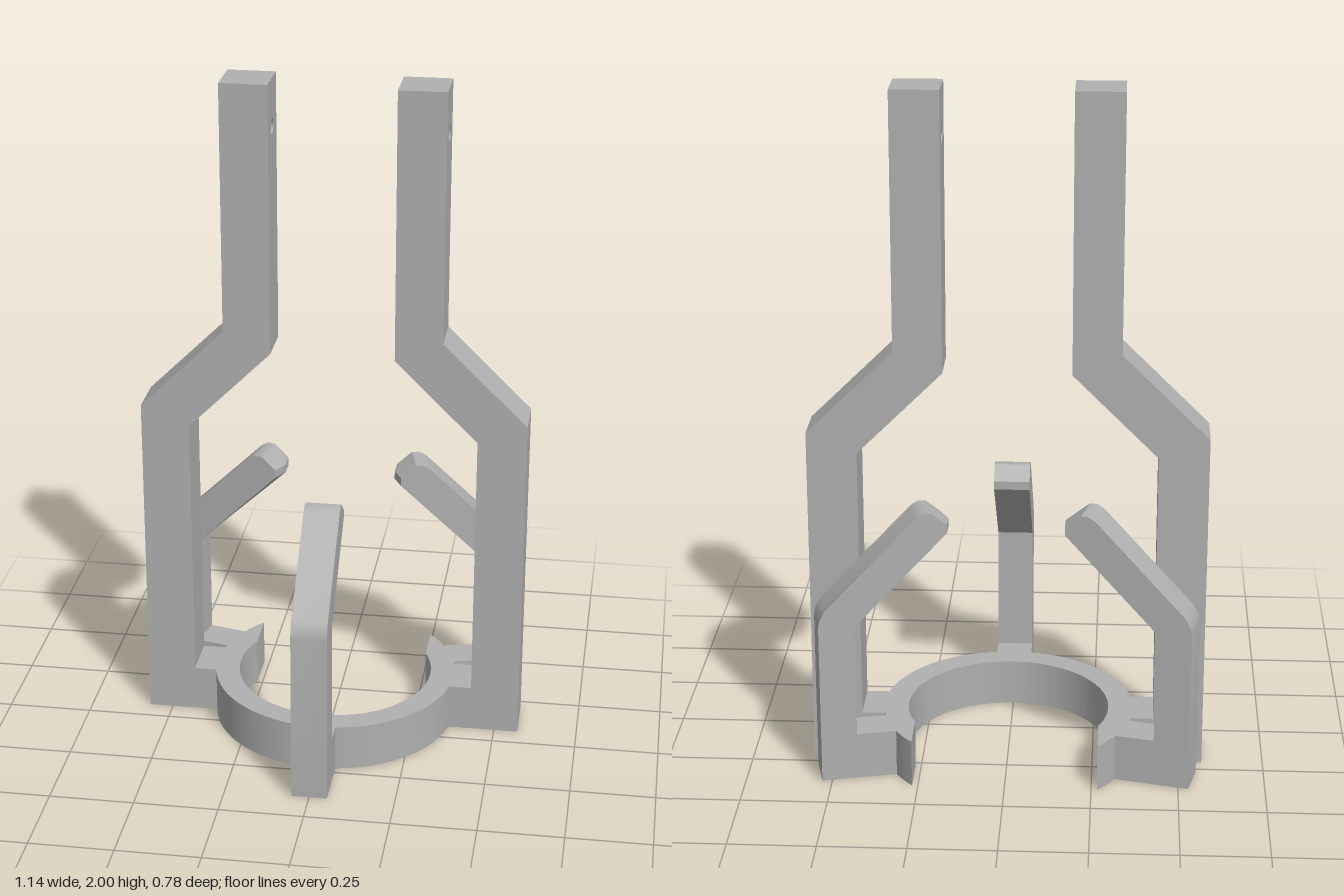
import * as THREE from 'three';
import { toCreasedNormals } from 'three/addons/utils/BufferGeometryUtils.js';

const CZ = -0.137;   // z of the ring centre and the tall arms
const BASE = 0.14;   // height of the ring and feet

const grey = new THREE.MeshStandardMaterial({ color: 0xb0b0b0 });
grey.name = 'grey';

const outline = (pts) => new THREE.Shape(pts.map(([x, y]) => new THREE.Vector2(x, y)));

function extrude(shape, depth, steps = 1) {
  return new THREE.ExtrudeGeometry(shape, { depth, steps, bevelEnabled: false, curveSegments: 48 });
}

function part(name, geometry) {
  const mesh = new THREE.Mesh(toCreasedNormals(geometry, 0.5), grey);
  mesh.name = name;
  return mesh;
}

// Open ring, its ends cut off straight at x = +-0.267
function ring() {
  const R = 0.367, r = 0.295, cut = 0.267;
  const a = Math.acos(cut / R), b = Math.acos(cut / r);
  const s = new THREE.Shape();
  s.absarc(0, -CZ, R, a, -Math.PI - a, true);
  s.absarc(0, -CZ, r, -Math.PI - b, b, false);
  s.closePath();
  return part('baseRing', extrude(s, BASE).rotateX(-Math.PI / 2));
}

// Tall cranked arm: lower part with foot, upper part with a pin hole
function arm(side) {
  const group = new THREE.Group();
  group.name = side > 0 ? 'leftArm' : 'rightArm';
  const w = 0.143, split = 1.4;
  let pts = [[0.31, 0], [0.571, 0], [0.571, 1.012], [0.321, 1.258], [0.321, split],
    [0.182, split], [0.182, 1.197], [0.427, 0.954], [0.427, BASE], [0.31, BASE]];
  pts = pts.map(([x, y]) => [x * side, y]);
  group.add(part('armLower', extrude(outline(pts), w).translate(0, 0, CZ - w / 2)));

  const upper = outline([[-w / 2, split], [w / 2, split], [w / 2, 2], [-w / 2, 2]]);
  const hole = new THREE.Path();
  hole.absarc(0, 1.86, 0.022, 0, Math.PI * 2, true);
  upper.holes.push(hole);
  const t = 0.139;
  const geo = extrude(upper, t).translate(0, 0, -t / 2).rotateY(Math.PI / 2);
  group.add(part('armUpper', geo.translate(side * 0.2515, 0, CZ)));
  return group;
}

// Bent holding finger; d lowers the bend and lengthens the reach
function finger(name, d, foot, ridge, angle, x, z) {
  const w = 0.105;
  const shape = outline([[0, 0], [foot, 0], [foot, BASE], [0.104, BASE], [0.104, 0.514 - d],
    [0.337 + d, 0.747], [0.337 + d, 0.772], [0.292 + d, 0.81], [0.27 + d, 0.81],
    [0.255 + d, 0.802], [0.245 + d, 0.794], [0.02, 0.569 - d], [0.004, 0.54 - d], [0, 0.52 - d]]);
  const geo = extrude(shape, w, 2).translate(0, 0, -w / 2);
  // Push the middle of the tip outward into a ridge
  const p = geo.attributes.position;
  for (let i = 0; i < p.count; i++) {
    if (Math.abs(p.getZ(i)) < 0.01 && p.getX(i) > 0.33 + d) p.setX(i, p.getX(i) + ridge);
  }
  const mesh = part(name, geo);
  mesh.rotation.y = angle;
  mesh.position.set(x, 0, z);
  return mesh;
}

export function createModel() {
  const model = new THREE.Group();
  model.name = 'holder';
  model.add(ring(), arm(1), arm(-1));
  model.add(finger('frontFinger', 0, 0.19, 0, Math.PI / 2, 0, 0.395));
  model.add(finger('leftRearFinger', 0.035, 0.235, 0.013, Math.PI + 0.232, 0.541, -0.321));
  model.add(finger('rightRearFinger', 0.035, 0.235, 0.013, -0.232, -0.541, -0.321));
  return model;
}
